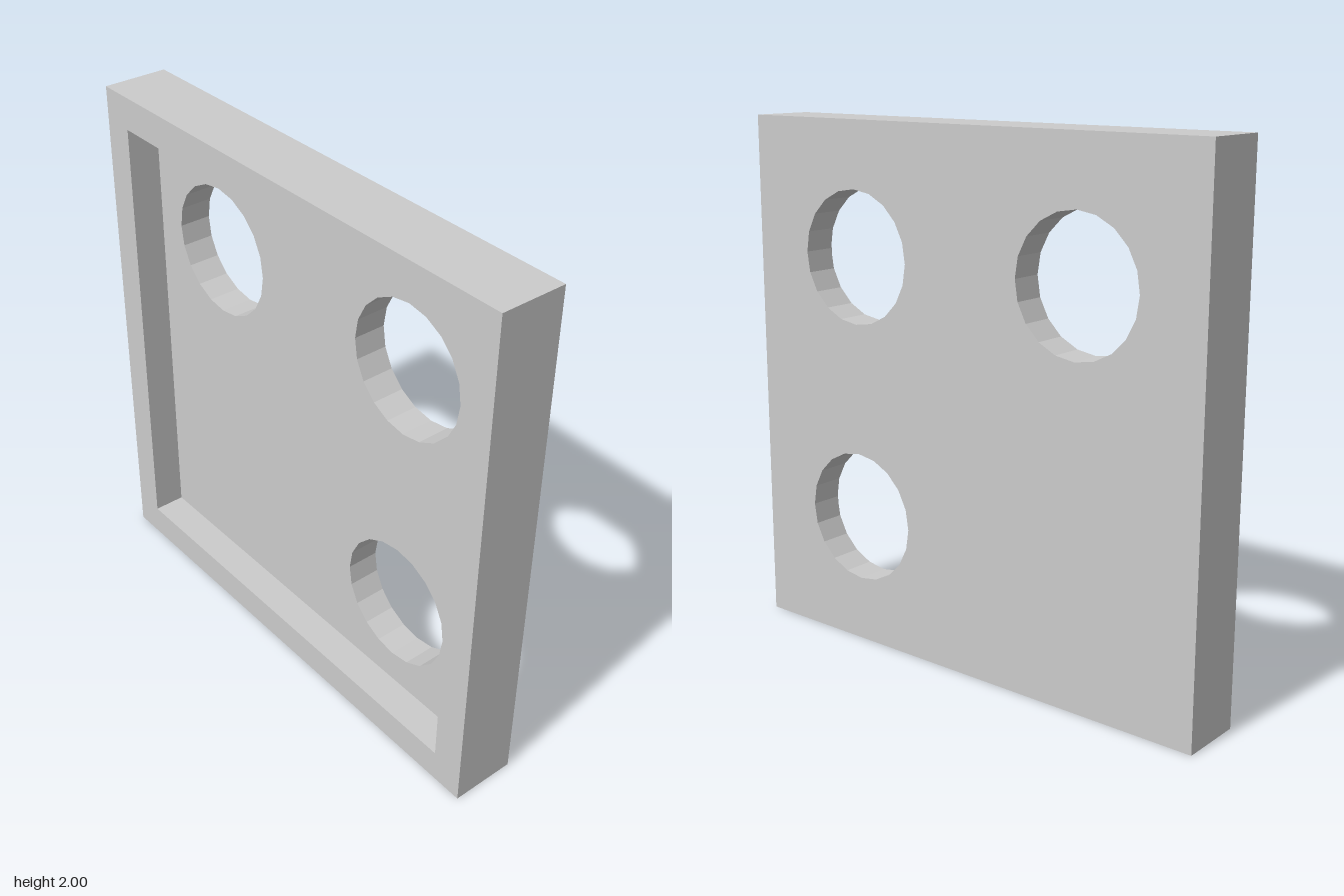
import * as THREE from 'three';

const SIZE = 2, DEPTH = 0.25, RIM = 0.125, FLOOR = 0.125;
const HOLE_RADIUS = 0.25, HOLE_SIDES = 20;

// Regular polygon outline; four sides with a 45 degree turn make a square
function polygon(Type, x, y, radius, sides, turn = 0) {
  const points = [];
  for (let i = 0; i < sides; i++) {
    const a = turn + (i / sides) * Math.PI * 2;
    points.push(new THREE.Vector2(x + radius * Math.cos(a), y + radius * Math.sin(a)));
  }
  const path = new Type(points);
  path.closePath();
  return path;
}

const square = (Type, size) => polygon(Type, 0, SIZE / 2, size / Math.SQRT2, 4, Math.PI / 4);

function slab(name, shape, z, depth, material) {
  const geometry = new THREE.ExtrudeGeometry(shape, { depth, bevelEnabled: false });
  geometry.translate(0, 0, z);
  const mesh = new THREE.Mesh(geometry, material);
  mesh.name = name;
  return mesh;
}

export function createModel() {
  const model = new THREE.Group();
  model.name = 'framedPanel';
  const material = new THREE.MeshStandardMaterial({ color: 0xcccccc, flatShading: true });

  // Back panel with three round openings
  const panel = square(THREE.Shape, SIZE);
  for (const [x, y] of [[-0.5, 1.5], [0.5, 1.5], [0.5, 0.5]]) {
    panel.holes.push(polygon(THREE.Path, x, y, HOLE_RADIUS, HOLE_SIDES));
  }
  model.add(slab('backPanel', panel, -DEPTH / 2, FLOOR, material));

  // Raised rim around the front
  const rim = square(THREE.Shape, SIZE);
  rim.holes.push(square(THREE.Path, SIZE - 2 * RIM));
  model.add(slab('frontRim', rim, -DEPTH / 2 + FLOOR, DEPTH - FLOOR, material));

  return model;
}
